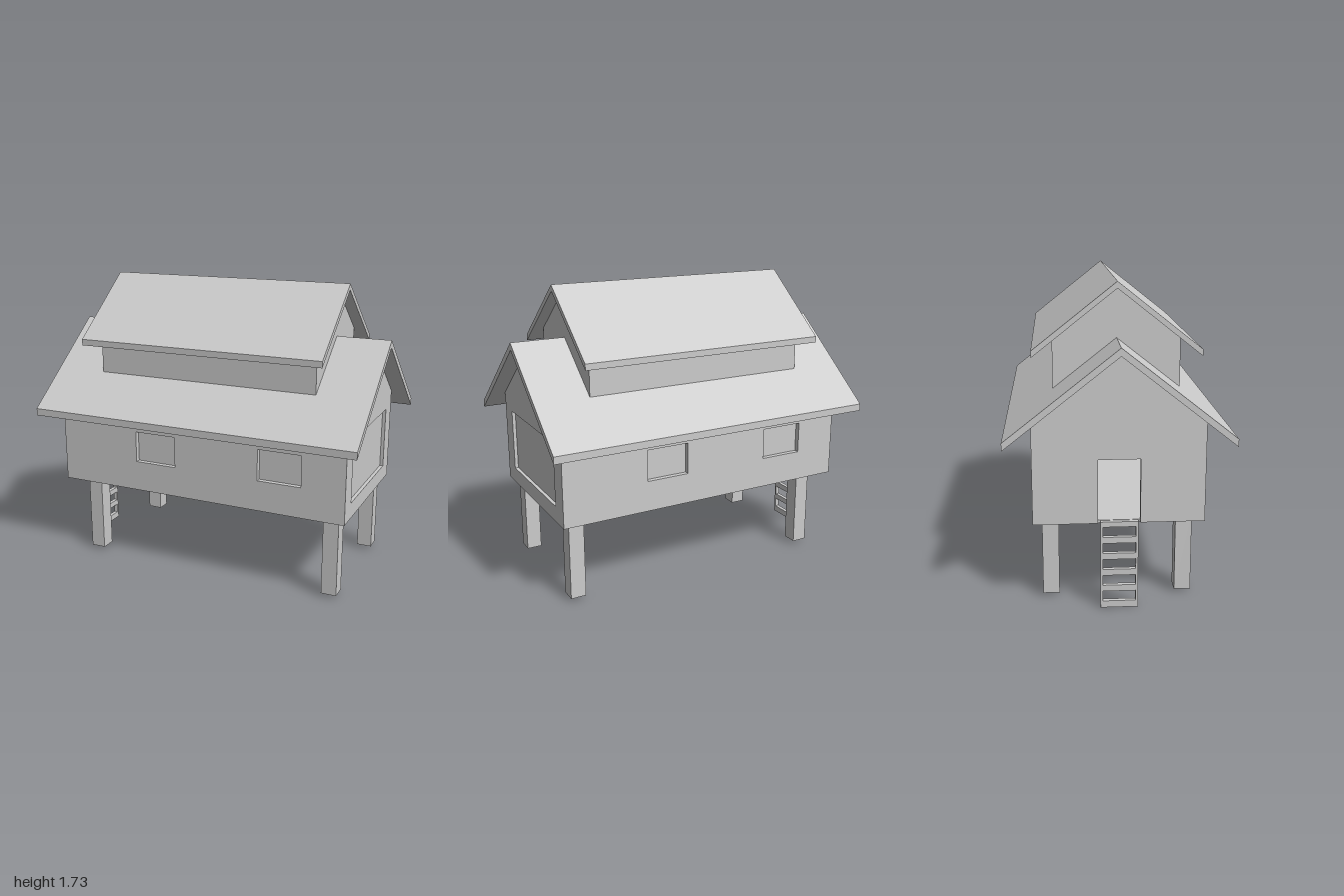
import * as THREE from 'three';

const SLOPE = 0.79;
const material = new THREE.MeshStandardMaterial({ color: 0xcccccc, flatShading: true });

function add(parent, name, geometry, x = 0, y = 0, z = 0) {
  const mesh = new THREE.Mesh(geometry, material);
  mesh.name = name;
  mesh.position.set(x, y, z);
  parent.add(mesh);
  return mesh;
}

const polygon = (points) => new THREE.Shape(points.map(([a, b]) => new THREE.Vector2(a, b)));

// Rectangular hole from two opposite corners
function cutRect(shape, a0, b0, a1, b1) {
  shape.holes.push(new THREE.Path([[a0, b0], [a0, b1], [a1, b1], [a1, b0]]
    .map(([a, b]) => new THREE.Vector2(a, b))));
}

// Extrudes a (z, y) profile along x, centred on x = 0
function extrudeX(shape, length) {
  return new THREE.ExtrudeGeometry(shape, { depth: length, bevelEnabled: false })
    .translate(0, 0, -length / 2)
    .rotateY(Math.PI / 2);
}

// House-shaped end profile whose top follows the roof pitch
function gable(half, bottom, apex) {
  const eave = apex - SLOPE * half;
  return polygon([[-half, bottom], [half, bottom], [half, eave], [0, apex], [-half, eave]]);
}

// Chevron roof with vertically cut eaves
function roof(half, apex, thickness, length) {
  const drop = SLOPE * half;
  return extrudeX(polygon([
    [-half, apex - drop - thickness], [0, apex - thickness], [half, apex - drop - thickness],
    [half, apex - drop], [0, apex], [-half, apex - drop],
  ]), length);
}

export function createModel() {
  const house = new THREE.Group();
  house.name = 'stiltHouse';
  const wall = 0.03, halfX = 0.905, halfZ = 0.455, base = 0.475;

  // Floor
  add(house, 'floor', new THREE.BoxGeometry(halfX * 2 - 0.02, 0.015, halfZ * 2 - 0.02), 0, base + 0.0075, 0);

  // Long walls with two recessed windows; the back is the front turned half round
  for (const [name, turn] of [['front', 0], ['back', Math.PI]]) {
    const side = new THREE.Group();
    side.name = name + 'Wall';
    side.rotation.y = turn;
    const inner = halfX - wall;
    const shape = polygon([[-inner, base], [inner, base], [inner, 1.025], [-inner, 1.025]]);
    for (const x of [-0.265, 0.52]) {
      cutRect(shape, x - 0.13, 0.655, x + 0.13, 0.84);
      add(side, 'windowPane', new THREE.BoxGeometry(0.28, 0.205, 0.01), x, 0.7475, halfZ - wall - 0.005);
    }
    add(side, 'wallPanel', new THREE.ExtrudeGeometry(shape, { depth: wall, bevelEnabled: false }), 0, 0, halfZ - wall);
    house.add(side);
  }

  // Left gable wall with a wide recessed window
  const leftShape = gable(halfZ, base, 1.385);
  cutRect(leftShape, -0.34, 0.567, 0.34, 0.932);
  add(house, 'leftGableWall', extrudeX(leftShape, wall), halfX - wall / 2);
  add(house, 'wideWindowPane', new THREE.BoxGeometry(0.012, 0.385, 0.7), halfX - 0.026, 0.7495, 0);

  // Right gable wall with an open doorway down to the floor
  const d = 0.112, eave = 1.385 - SLOPE * halfZ;
  const rightShape = polygon([
    [-halfZ, base], [-d, base], [-d, 0.825], [d, 0.825], [d, base], [halfZ, base],
    [halfZ, eave], [0, 1.385], [-halfZ, eave],
  ]);
  add(house, 'rightGableWall', extrudeX(rightShape, wall), -halfX + wall / 2);

  // Main roof, raised upper storey and its roof
  add(house, 'mainRoof', roof(0.6, 1.425, 0.042, 2));
  add(house, 'upperStorey', extrudeX(gable(0.34, 1.125, 1.69), 1.365));
  add(house, 'upperRoof', roof(0.45, 1.725, 0.036, 1.5));

  // Stilts
  for (const x of [-0.73, 0.815]) {
    for (const z of [-0.363, 0.363]) {
      add(house, 'stilt', new THREE.BoxGeometry(0.09, 0.46, 0.09), x, 0.25, z);
    }
  }

  // Ladder below the doorway
  const ladder = polygon([[-0.1, 0], [0.1, 0], [0.1, 0.49], [-0.1, 0.49]]);
  for (let i = 0; i < 5; i++) {
    const y = 0.038 + i * 0.0915;
    cutRect(ladder, -0.087, y, 0.087, y + 0.057);
  }
  add(house, 'ladder', extrudeX(ladder, 0.025), -0.9135);

  return house;
}
